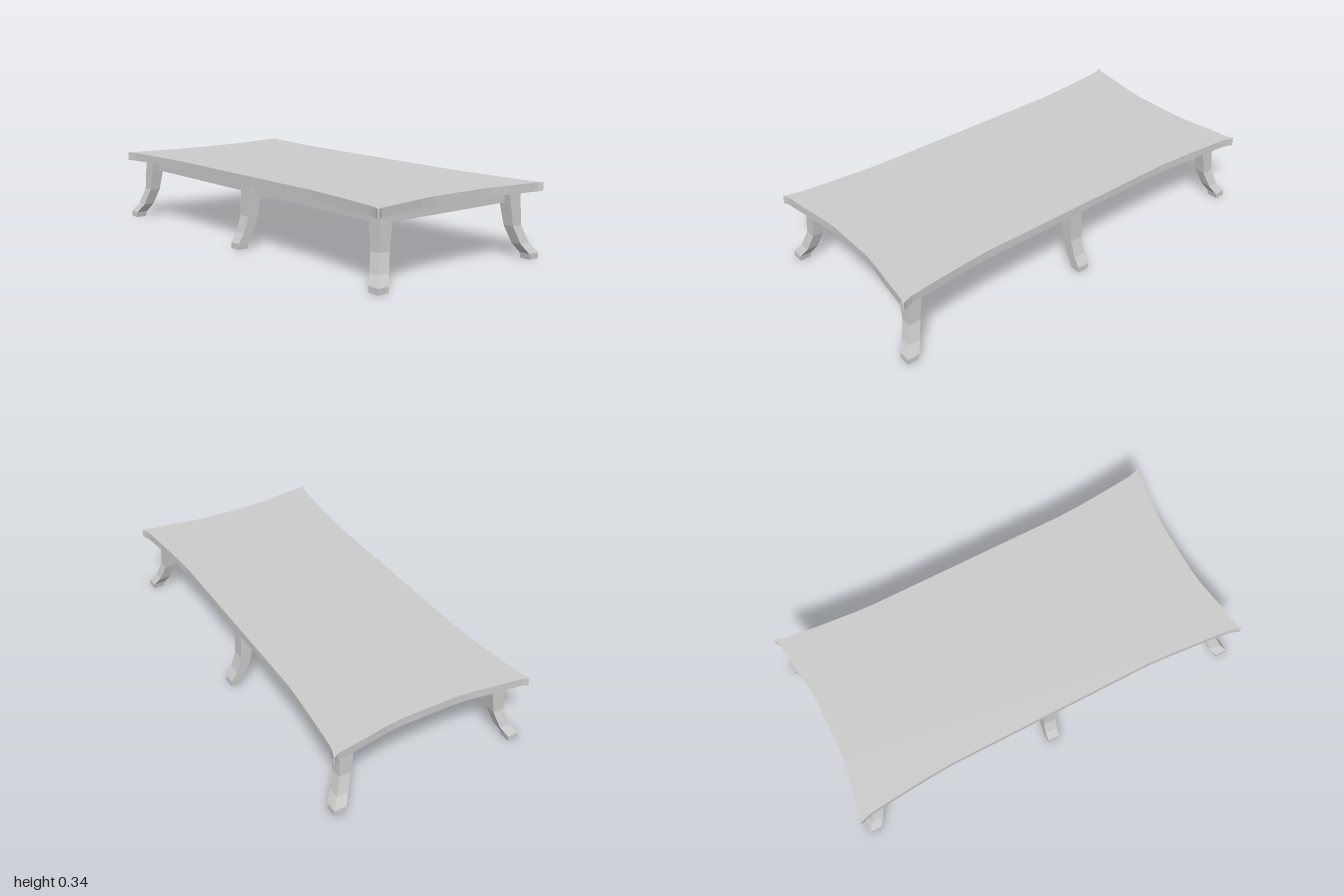
import * as THREE from 'three';

// Leg sections from top to foot: height, inner x, outer x
const LEG = [
  [0.305, 0.348, 0.418],
  [0.15, 0.37, 0.425],
  [0.07, 0.396, 0.451],
  [0.027, 0.422, 0.48],
  [0, 0.427, 0.481],
];
const LENGTH_OFFSET = 0.51; // the corner legs sit this much further out along z

// One quarter of the table top outline, from the long side round the corner to the end
const QUARTER = [
  [0.436, 0.52], [0.442, 0.62], [0.451, 0.73], [0.462, 0.85], [0.472, 0.94],
  [0.482, 0.975], [0.49, 0.992], [0.486, 1.0], [0.465, 0.987], [0.39, 0.977],
  [0.3, 0.964], [0.21, 0.949], [0.13, 0.942],
];

// Box with four rows whose corners follow the leg sections; sz = 0 gives a middle leg
function legGeometry(sx, sz) {
  const geo = new THREE.BoxGeometry(1, 1, 1, 1, LEG.length - 1, 1);
  const pos = geo.attributes.position;
  for (let i = 0; i < pos.count; i++) {
    const row = Math.round((0.5 - pos.getY(i)) * (LEG.length - 1));
    const [y, inner, outer] = LEG[row];
    const x = pos.getX(i) * sx > 0 ? outer : inner;
    const zSide = Math.sign(pos.getZ(i));
    const z = sz === 0
      ? zSide * (0.033 - 0.00125 * row)
      : sz * (LENGTH_OFFSET + (zSide * sz > 0 ? outer : inner));
    pos.setXYZ(i, sx * x, y, z);
  }
  const flat = geo.toNonIndexed();
  flat.computeVertexNormals();
  return flat;
}

// Slab with concave edges and flared, pointed corners
function topGeometry() {
  const back = [...QUARTER].reverse();
  const outline = [
    ...QUARTER,
    ...back.map(([x, z]) => [-x, z]),
    ...QUARTER.map(([x, z]) => [-x, -z]),
    ...back.map(([x, z]) => [x, -z]),
  ];
  const shape = new THREE.Shape(outline.map(([x, z]) => new THREE.Vector2(x, z)));
  const geo = new THREE.ExtrudeGeometry(shape, { depth: 0.04, bevelEnabled: false });
  geo.rotateX(Math.PI / 2);
  geo.translate(0, 0.345, 0);
  return geo;
}

export function createModel() {
  const group = new THREE.Group();
  group.name = 'lowTable';
  const grey = new THREE.MeshStandardMaterial({ color: 0xcccccc });
  grey.name = 'light grey';

  const add = (name, geometry) => {
    const mesh = new THREE.Mesh(geometry, grey);
    mesh.name = name;
    group.add(mesh);
    return mesh;
  };

  add('tableTop', topGeometry());

  // Solid apron under the top
  add('apron', new THREE.BoxGeometry(0.77, 0.05, 1.79)).position.y = 0.28;

  // Four corner legs and two middle legs
  for (const sx of [1, -1]) {
    for (const sz of [1, 0, -1]) {
      const end = sz > 0 ? 'front' : sz < 0 ? 'back' : 'middle';
      add(end + (sx > 0 ? 'Left' : 'Right') + 'Leg', legGeometry(sx, sz));
    }
  }
  return group;
}
